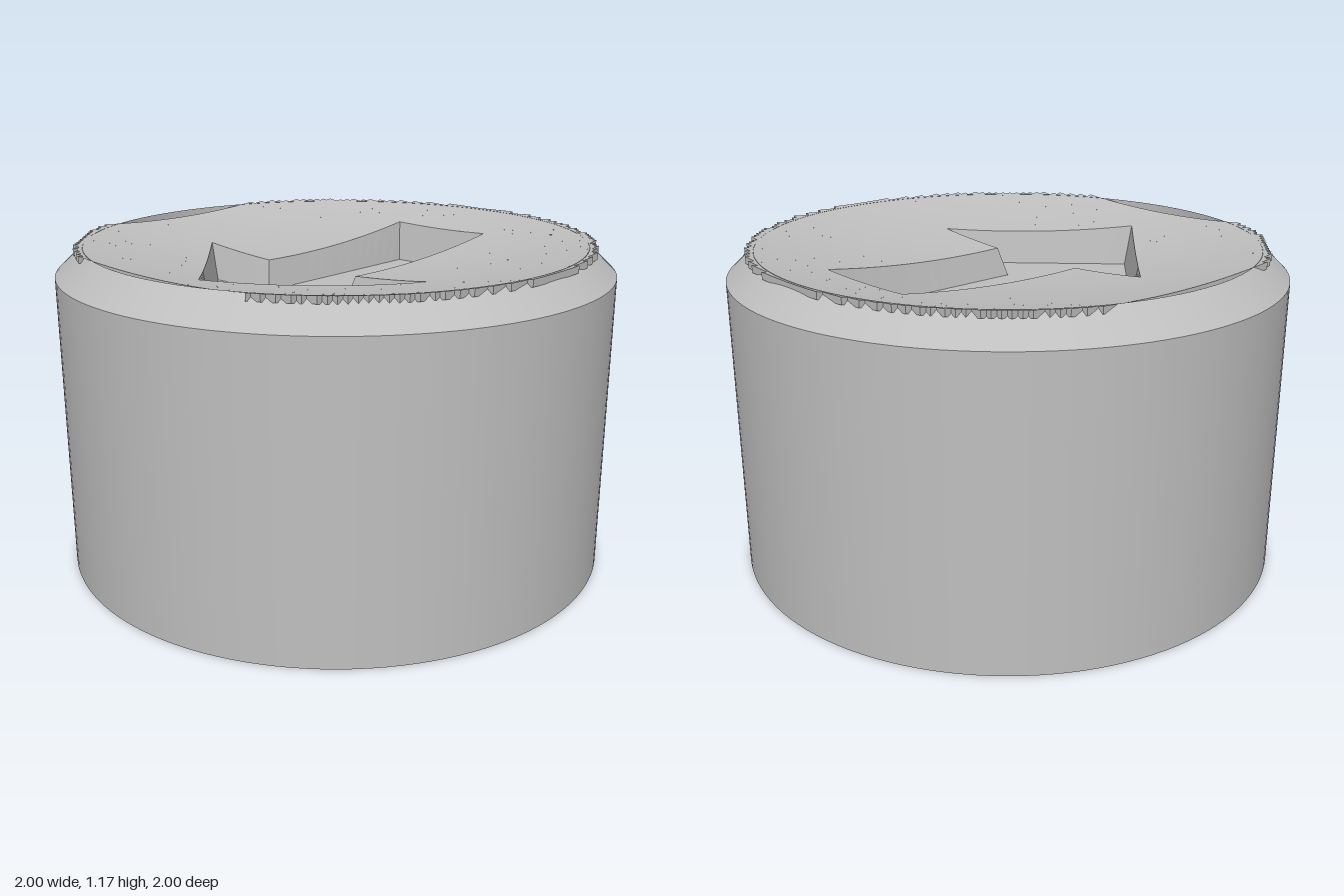
import * as THREE from 'three';

const grey = new THREE.MeshStandardMaterial({ color: 0xbfbfbf, side: THREE.DoubleSide });
grey.name = 'plain grey';

const RIM_Y = 1.165, RIM_R = 0.9, SHOULDER_Y = 1.07, CUT = 0.84;
const ARROW_FLOOR = 0.97, POCKET_FLOOR = 1.05;

// height of the shallow dish on top
const dish = (x, z) => 1.069 + 0.117 * (x * x + z * z);

// collects four-cornered faces into one flat-shaded geometry
function faces() {
  const p = [];
  return {
    quad(a, b, c, d) { p.push(...a, ...b, ...c, ...a, ...c, ...d); },
    geometry() {
      const g = new THREE.BufferGeometry();
      g.setAttribute('position', new THREE.Float32BufferAttribute(p, 3));
      g.computeVertexNormals();
      return g;
    },
  };
}

// dished plate made of narrow columns, stepped at the rim and open over the arrow
function dishGeometry() {
  const f = faces();
  const spans = [[-CUT, -0.665, 8], [-0.665, -0.135, 24], [-0.135, 0.635, 34], [0.635, 0.915, 13]];
  const half = (x, s) => (s === 1 ? (x + 0.665) * 0.52 / 0.53 : s === 2 ? 0.21 : 0);
  const rim = (x) => Math.round(Math.sqrt(0.92 ** 2 - x * x) / 0.02) * 0.02;
  const skirt = (x0, z0, x1, z1) => {
    const y0 = dish(x0, z0), y1 = dish(x1, z1);
    f.quad([x0, y0, z0], [x0, y0 - 0.025, z0], [x1, y1 - 0.025, z1], [x1, y1, z1]);
  };
  for (const side of [1, -1]) {
    let last = null;
    spans.forEach(([from, to, n], s) => {
      for (let i = 0; i < n; i++) {
        const x0 = from + (to - from) * i / n, x1 = from + (to - from) * (i + 1) / n;
        const end = side < 0 ? Math.min(rim((x0 + x1) / 2), CUT) : rim((x0 + x1) / 2);
        const h0 = half(x0, s), h1 = half(x1, s), steps = 16;
        const at = (x, h, t) => {
          const z = side * (h + (end - h) * t);
          return [x, dish(x, z), z];
        };
        for (let k = 0; k < steps; k++) {
          const t0 = k / steps, t1 = (k + 1) / steps;
          const c = [at(x0, h0, t0), at(x0, h0, t1), at(x1, h1, t1), at(x1, h1, t0)];
          if (side < 0) c.reverse();
          f.quad(...c);
        }
        // little teeth round the edge
        if (side > 0) skirt(x0, end, x1, end);
        else skirt(x1, -end, x0, -end);
        if (last !== null && Math.abs(last - end) > 0.001) skirt(x0, side * last, x0, side * end);
        last = end;
      }
    });
    skirt(0.915, side * last, 0.915, 0);
  }
  return f.geometry();
}

// arrow outline, one half mirrored to the other
function arrowOutline(tip, back, wide, stem, tail) {
  const upper = [[back, wide], [back, stem], [tail, stem]];
  return [[tip, 0], ...upper, ...upper.map(([x, z]) => [x, -z]).reverse()];
}

// sloping walls of the arrow recess
function arrowWalls(top, bottom) {
  const f = faces(), n = 14;
  const mix = (a, b, t) => [a[0] + (b[0] - a[0]) * t, a[1] + (b[1] - a[1]) * t];
  top.forEach((a, i) => {
    const j = (i + 1) % top.length;
    for (let k = 0; k < n; k++) {
      const [a0, a1] = [k, k + 1].map((q) => mix(a, top[j], q / n));
      const [b0, b1] = [k, k + 1].map((q) => mix(bottom[i], bottom[j], q / n));
      f.quad([a0[0], dish(...a0), a0[1]], [a1[0], dish(...a1), a1[1]],
        [b1[0], ARROW_FLOOR, b1[1]], [b0[0], ARROW_FLOOR, b0[1]]);
    }
  });
  return f.geometry();
}

// sliver-shaped pocket between the straight cut of the plate and the rim, on the -z side
function sliverGeometry() {
  const f = faces(), n = 20, a = Math.acos(CUT / RIM_R);
  for (let i = 0; i < n; i++) {
    const [p, q] = [i, i + 1].map((k) => {
      const t = -a + 2 * a * k / n;
      return [RIM_R * Math.sin(t), -RIM_R * Math.cos(t)];
    });
    const F = POCKET_FLOOR;
    f.quad([p[0], RIM_Y, p[1]], [p[0], F, p[1]], [q[0], F, q[1]], [q[0], RIM_Y, q[1]]);
    f.quad([p[0], F, p[1]], [p[0], F, -CUT], [q[0], F, -CUT], [q[0], F, q[1]]);
    f.quad([q[0], dish(q[0], CUT), -CUT], [q[0], F, -CUT], [p[0], F, -CUT], [p[0], dish(p[0], CUT), -CUT]);
  }
  return f.geometry();
}

// square socket going up from the underside
function socketGeometry(h, depth) {
  const f = faces();
  const c = [[-h, -h], [h, -h], [h, h], [-h, h]];
  c.forEach(([x, z], i) => {
    const [u, w] = c[(i + 1) % 4];
    f.quad([x, 0, z], [u, 0, w], [u, depth, w], [x, depth, z]);
  });
  f.quad(...c.map(([x, z]) => [x, depth, z]));
  return f.geometry();
}

export function createModel() {
  const group = new THREE.Group();
  group.name = 'arrowButton';
  const add = (name, geometry) => {
    const mesh = new THREE.Mesh(geometry, grey);
    mesh.name = name;
    group.add(mesh);
    return mesh;
  };

  // round body and bevelled shoulder
  add('body', new THREE.CylinderGeometry(1, 1, SHOULDER_Y, 128, 1, true)).position.y = SHOULDER_Y / 2;
  add('bevel', new THREE.CylinderGeometry(RIM_R, 1, RIM_Y - SHOULDER_Y, 128, 1, true))
    .position.y = (RIM_Y + SHOULDER_Y) / 2;

  // underside with square socket
  const H = 0.37;
  const base = new THREE.Shape().absarc(0, 0, 1, 0, Math.PI * 2);
  base.holes.push(new THREE.Path([[-H, -H], [-H, H], [H, H], [H, -H]].map((p) => new THREE.Vector2(...p))));
  add('underside', new THREE.ShapeGeometry(base, 64).rotateX(Math.PI / 2));
  add('socket', socketGeometry(H, 0.5));

  // dished top and its arrow recess
  add('dishedTop', dishGeometry());
  const top = arrowOutline(-0.665, -0.135, 0.52, 0.21, 0.635);
  const bottom = arrowOutline(-0.63, -0.165, 0.46, 0.185, 0.605);
  add('arrowWalls', arrowWalls(top, bottom));
  const floor = new THREE.Shape(bottom.map(([x, z]) => new THREE.Vector2(x, -z)));
  add('arrowFloor', new THREE.ShapeGeometry(floor).rotateX(-Math.PI / 2)).position.y = ARROW_FLOOR;

  // pockets behind the two straight cuts
  add('backPocket', sliverGeometry());
  add('rightPocket', sliverGeometry()).rotation.y = Math.PI / 2;
  return group;
}
